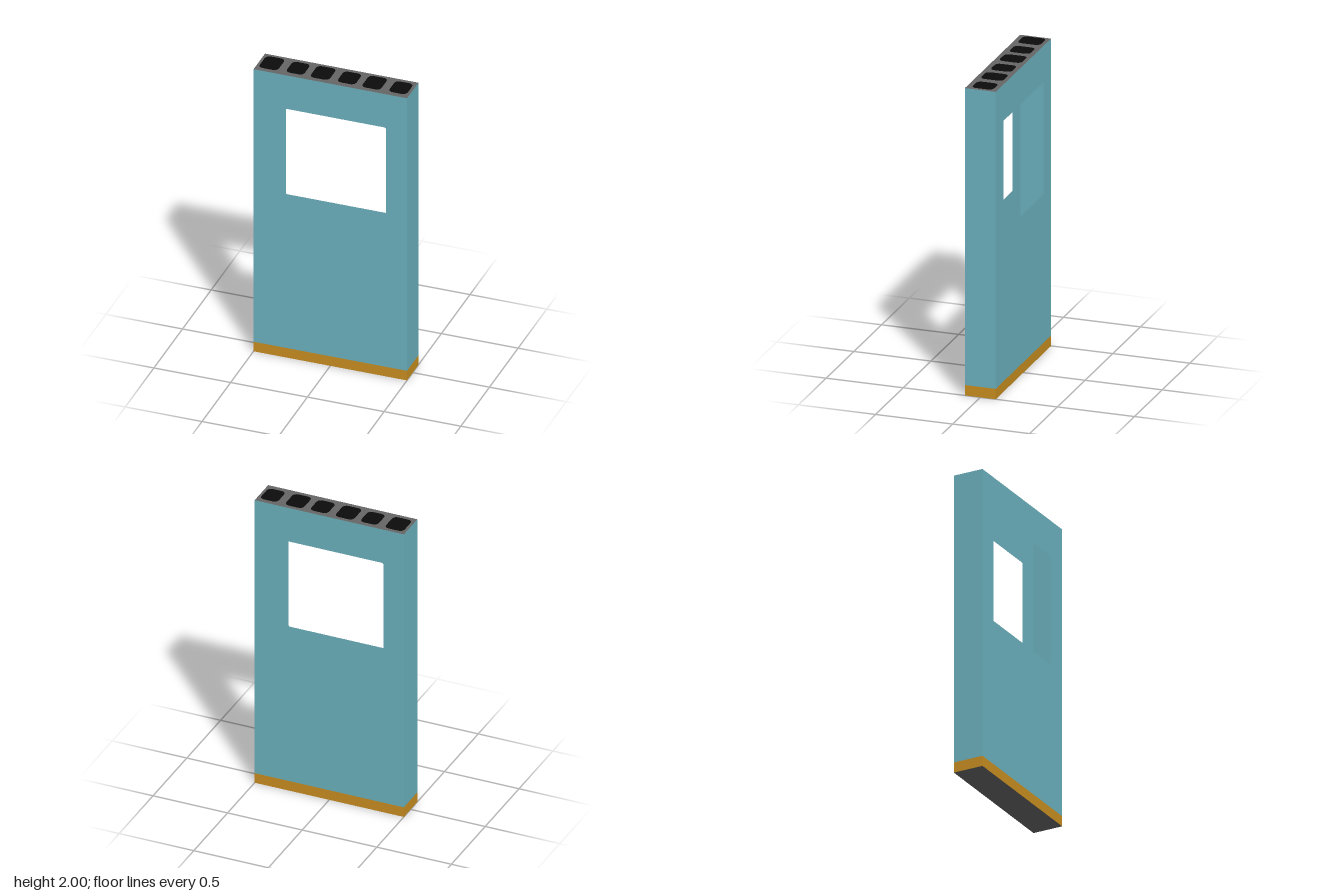
import * as THREE from 'three';

const W = 1, H = 2, D = 0.2, BAND = 0.068;
const mat = (name, color) => {
  const m = new THREE.MeshStandardMaterial({ color, side: THREE.DoubleSide });
  m.name = name;
  return m;
};

// Rectangle with cut corners, centred on (cx, cy)
function cutRect(path, cx, cy, w, h, c) {
  const a = w / 2, b = h / 2;
  const pts = [[-a + c, -b], [a - c, -b], [a, -b + c], [a, b - c],
    [a - c, b], [-a + c, b], [-a, b - c], [-a, -b + c]];
  return path.setFromPoints(pts.map(([x, y]) => new THREE.Vector2(cx + x, cy + y)));
}

// Rectangle with rounded corners, centred on the origin
function roundRect(w, h, r) {
  const s = new THREE.Shape(), a = w / 2, b = h / 2;
  s.moveTo(-a + r, -b).lineTo(a - r, -b).quadraticCurveTo(a, -b, a, -b + r);
  s.lineTo(a, b - r).quadraticCurveTo(a, b, a - r, b);
  s.lineTo(-a + r, b).quadraticCurveTo(-a, b, -a, b - r);
  s.lineTo(-a, -b + r).quadraticCurveTo(-a, -b, -a + r, -b);
  return s;
}

export function createModel() {
  const teal = mat('teal paint', 0x6cb3c0);
  const orange = mat('orange skirting', 0xca8f20);
  const grey = mat('grey concrete', 0x666666);
  const black = mat('black core', 0x0c0c0c);
  const model = new THREE.Group();
  model.name = 'hollowWallPanel';
  const add = (name, geometry, material, x, y, z, rx = 0, ry = 0) => {
    const mesh = new THREE.Mesh(geometry, material);
    mesh.name = name;
    mesh.position.set(x, y, z);
    mesh.rotation.set(rx, ry, 0);
    model.add(mesh);
  };

  // Open-cored wall faces: the window is cut in the two skins, without a lining
  const face = new THREE.Shape([[-W / 2, BAND], [W / 2, BAND], [W / 2, H], [-W / 2, H]]
    .map(([x, y]) => new THREE.Vector2(x, y)));
  face.holes.push(cutRect(new THREE.Path(), 0, 1.398, 0.726, 0.73, 0.006));
  const skin = new THREE.ShapeGeometry(face);
  const wallEnd = new THREE.PlaneGeometry(D, H - BAND);
  const longBand = new THREE.PlaneGeometry(W, BAND);
  const shortBand = new THREE.PlaneGeometry(D, BAND);
  for (const s of [1, -1]) {
    const turn = s > 0 ? 0 : Math.PI;
    const z = s * D / 2, x = s * W / 2;
    add(s > 0 ? 'frontSkin' : 'backSkin', skin, teal, 0, 0, z, 0, turn);
    add(s > 0 ? 'frontSkirting' : 'backSkirting', longBand, orange, 0, BAND / 2, z, 0, turn);
    const side = s > 0 ? 'left' : 'right';
    add(side + 'End', wallEnd, teal, x, (H + BAND) / 2, 0, 0, s * Math.PI / 2);
    add(side + 'Skirting', shortBand, orange, x, BAND / 2, 0, 0, s * Math.PI / 2);
  }

  // Top and underside
  const cap = new THREE.PlaneGeometry(W, D);
  add('topCap', cap, grey, 0, H, 0, -Math.PI / 2);
  add('underside', cap, grey, 0, 0, 0, Math.PI / 2);

  // Dark core openings painted along the top: centre x, width, depth
  const cores = [[-0.419, 0.125, 0.147], [-0.248, 0.116, 0.137], [-0.085, 0.125, 0.147],
    [0.087, 0.119, 0.137], [0.251, 0.123, 0.147], [0.422, 0.118, 0.137]];
  for (const [x, w, d] of cores) {
    add('coreOpening', new THREE.ShapeGeometry(roundRect(w, d, 0.035), 6), black,
      x, H + 0.002, -0.003, -Math.PI / 2);
  }
  return model;
}
